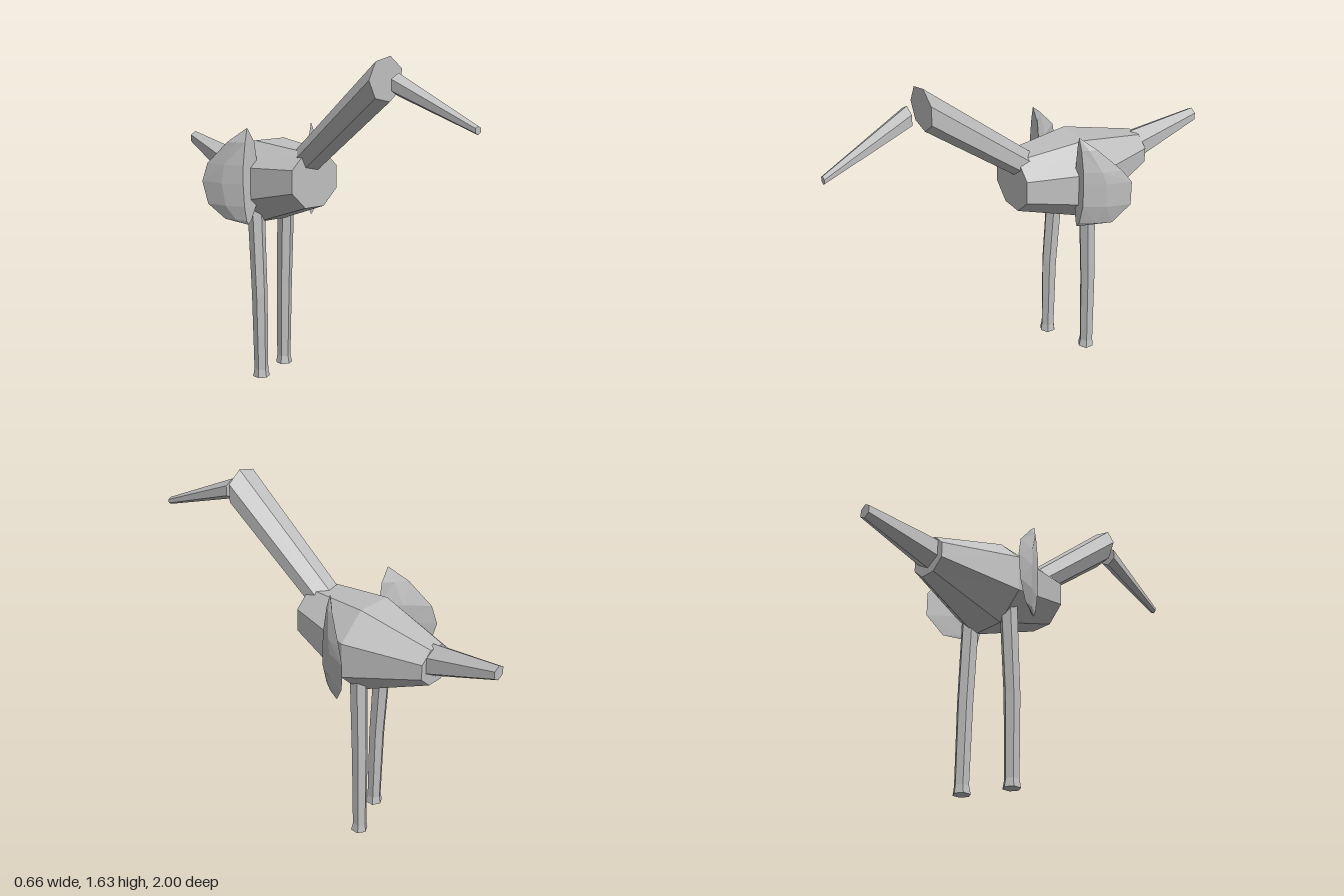
import * as THREE from 'three';

const V = (x, y, z) => new THREE.Vector3(x, y, z);

// Regular ring of n points; "axis" is the direction the ring faces
function ring(n, phase, [x, y, z], r, ry = r, axis = 'z') {
  return Array.from({ length: n }, (_, i) => {
    const a = phase + (i / n) * Math.PI * 2;
    const u = Math.cos(a) * r, v = Math.sin(a) * ry;
    return axis === 'z' ? V(x + u, y + v, z) : V(x + u, y, z + v);
  });
}

// Closed, capped skin through rings of equal point count, wound outwards
function loft(rings) {
  const tris = [];
  const add = (a, b, c) => {
    const area = b.clone().sub(a).cross(c.clone().sub(a)).length();
    if (area > 1e-8) tris.push([a, b, c]);
  };
  const n = rings[0].length, last = rings[rings.length - 1];
  for (let k = 0; k < rings.length - 1; k++) {
    const p = rings[k], q = rings[k + 1];
    for (let i = 0; i < n; i++) {
      const j = (i + 1) % n;
      add(p[i], p[j], q[j]);
      add(p[i], q[j], q[i]);
    }
  }
  const middle = (r) => r.reduce((s, p) => s.add(p), V(0, 0, 0)).divideScalar(n);
  const c0 = middle(rings[0]), c1 = middle(last);
  for (let i = 0; i < n; i++) {
    const j = (i + 1) % n;
    add(c0, rings[0][j], rings[0][i]);
    add(c1, last[i], last[j]);
  }
  // Flip the winding if the enclosed volume is negative
  const volume = tris.reduce((s, [a, b, c]) => s + a.dot(b.clone().cross(c)), 0);
  const points = tris.flatMap(([a, b, c]) => (volume < 0 ? [a, c, b] : [a, b, c]));
  const geometry = new THREE.BufferGeometry().setFromPoints(points);
  geometry.computeVertexNormals();
  return geometry;
}

export function createModel() {
  const model = new THREE.Group();
  model.name = 'bird';
  const grey = new THREE.MeshStandardMaterial({ color: 0xbfbfbf, flatShading: true });
  grey.name = 'grey';
  const part = (name, rings) => {
    const mesh = new THREE.Mesh(loft(rings), grey);
    mesh.name = name;
    model.add(mesh);
  };

  // Eight-sided body, widest in the middle
  const p8 = Math.PI / 8;
  part('body', [
    ring(8, p8, [0, 1.033, 0.05], 0.147, 0.145),
    ring(8, p8, [0, 0.985, -0.3], 0.233, 0.222),
    ring(8, p8, [0, 1.018, -0.66], 0.105, 0.095),
  ]);

  // Seven-sided neck, cut off upright at the front
  part('neck', [
    ring(7, Math.PI, [-0.006, 1.058, -0.08], 0.083),
    ring(7, Math.PI, [0.022, 1.53, 0.51], 0.102),
  ]);

  // Beak stands free in front of the neck
  const p6 = Math.PI / 2;
  part('beak', [
    ring(6, p6, [0.027, 1.512, 0.58], 0.05),
    ring(6, p6, [0.075, 1.35, 1], 0.019),
  ]);

  // Tail rising to the back
  part('tail', [
    ring(6, p6, [0, 1.035, -0.64], 0.08),
    ring(6, p6, [0.024, 1.125, -1], 0.035),
  ]);

  // Legs: [x, y, z, radius] from hip to foot
  const leg = (name, rows) =>
    part(name, rows.map(([x, y, z, r]) => ring(6, p6, [x, y, z], r, r, 'y')));
  leg('rightLeg', [
    [-0.11, 0.88, -0.27, 0.043], [-0.112, 0.43, -0.243, 0.039],
    [-0.11, 0.04, -0.238, 0.035], [-0.11, 0, -0.238, 0.042],
  ]);
  leg('leftLeg', [
    [0.108, 0.88, -0.31, 0.043], [0.11, 0.43, -0.328, 0.039],
    [0.11, 0.04, -0.335, 0.035], [0.11, 0, -0.333, 0.042],
  ]);

  // Wings: rows of [height, inner front x, outer front x, tip x, tip z]
  const wing = (name, side, rows) =>
    part(name, rows.map(([y, inner, outer, tip, tipZ]) => {
      const midZ = -0.2 + (tipZ + 0.2) * 0.45;
      const mid = (x, bulge) => x + (tip - x) * 0.45 + bulge * (outer - inner);
      return [
        V(side * inner, y, -0.2), V(side * outer, y, -0.2),
        V(side * mid(outer, 0.2), y, midZ), V(side * tip, y, tipZ),
        V(side * mid(inner, 0.05), y, midZ),
      ];
    }));
  wing('rightWing', -1, [
    [1.27, 0.21, 0.21, 0.21, -0.2], [1.2, 0.168, 0.223, 0.27, -0.28],
    [1.09, 0.152, 0.235, 0.315, -0.385], [1.0, 0.152, 0.237, 0.33, -0.41],
    [0.89, 0.16, 0.23, 0.315, -0.385], [0.82, 0.19, 0.218, 0.267, -0.31],
    [0.8, 0.208, 0.208, 0.208, -0.2],
  ]);
  wing('leftWing', 1, [
    [1.27, 0.182, 0.182, 0.182, -0.2], [1.215, 0.172, 0.205, 0.237, -0.265],
    [1.11, 0.162, 0.226, 0.302, -0.365], [1.05, 0.16, 0.23, 0.327, -0.405],
    [0.93, 0.16, 0.23, 0.327, -0.405], [0.83, 0.172, 0.205, 0.282, -0.335],
    [0.8, 0.183, 0.183, 0.183, -0.2],
  ]);

  return model;
}
